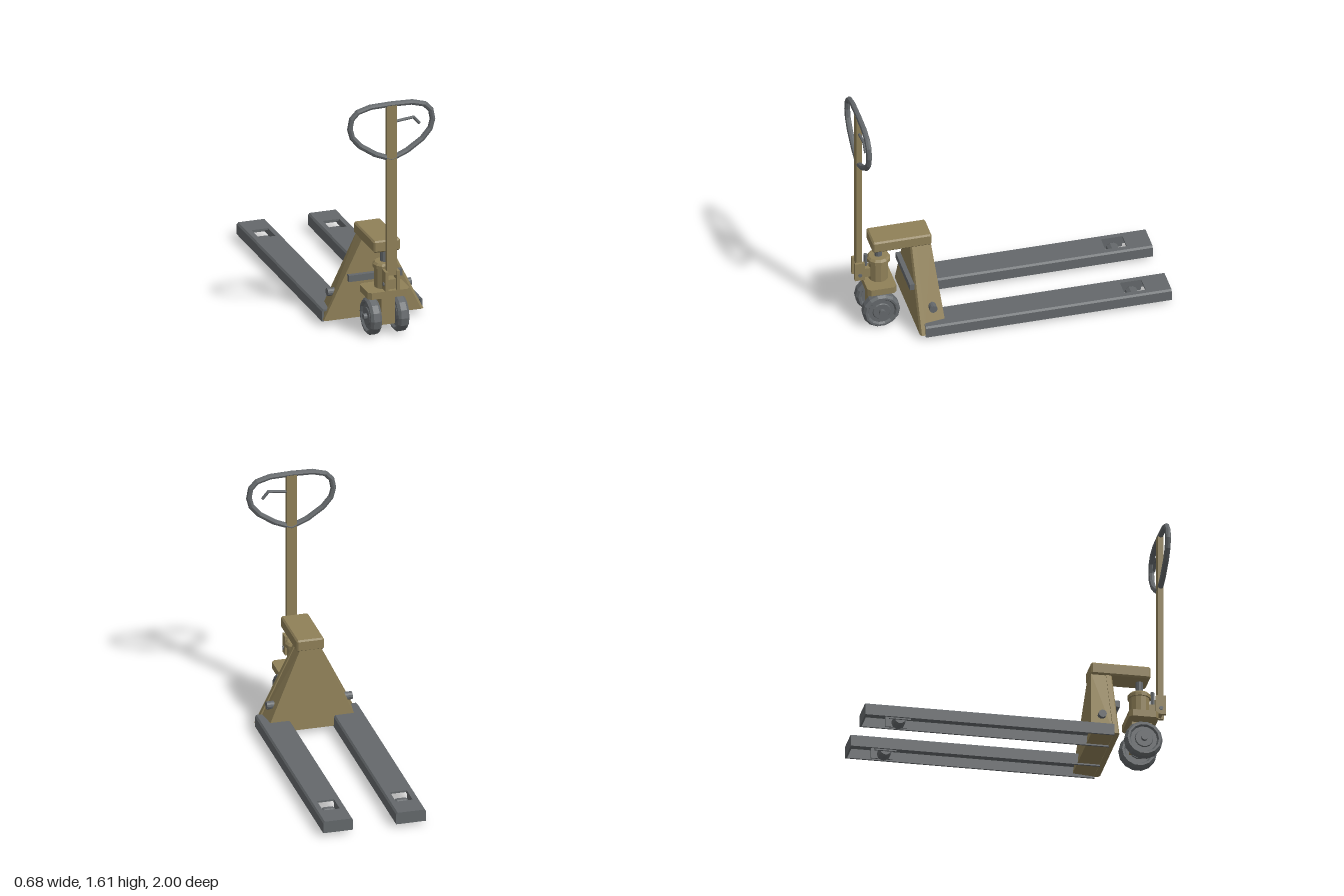
import * as THREE from 'three';
import { ConvexGeometry } from 'three/addons/geometries/ConvexGeometry.js';

export function createModel() {
  const model = new THREE.Group();
  const gold = new THREE.MeshStandardMaterial({ color: 0x8f8058 });
  gold.name = 'ochre paint';
  const grey = new THREE.MeshStandardMaterial({ color: 0x64686b });
  grey.name = 'dark grey';

  // Adds a faceted mesh
  function add(name, geo, mat, x = 0, y = 0, z = 0, parent = model) {
    const g = geo.index ? geo.toNonIndexed() : geo;
    g.computeVertexNormals();
    const mesh = new THREE.Mesh(g, mat);
    mesh.name = name;
    mesh.position.set(x, y, z);
    parent.add(mesh);
    return mesh;
  }
  // Box given by its limits
  function box(name, mat, x0, x1, y0, y1, z0, z1, parent = model) {
    return add(name, new THREE.BoxGeometry(x1 - x0, y1 - y0, z1 - z0), mat,
      (x0 + x1) / 2, (y0 + y1) / 2, (z0 + z1) / 2, parent);
  }
  const hull = (pts) => new ConvexGeometry(pts.map((p) => new THREE.Vector3(...p)));
  const mirrored = (pts) => pts.flatMap(([x, y, z]) => [[x, y, z], [-x, y, z]]);
  const shapeOf = (pts) => new THREE.Shape(pts.map((p) => new THREE.Vector2(...p)));
  const extrude = (shape, depth) => new THREE.ExtrudeGeometry(shape, { depth, bevelEnabled: false });
  // Cylinder lying along x
  const rodX = (r, len, sides = 12) => new THREE.CylinderGeometry(r, r, len, sides).rotateZ(Math.PI / 2);
  // Wheel turned about x from (radius, offset) points
  const wheelX = (pts, sides) =>
    new THREE.LatheGeometry(pts.map((p) => new THREE.Vector2(...p)), sides).rotateZ(-Math.PI / 2);
  // Box with all edges chamfered
  function chamferBox(w, h, d, c) {
    const pts = [];
    for (const sx of [-1, 1]) for (const sy of [-1, 1]) for (const sz of [-1, 1]) {
      const [x, y, z] = [w / 2, h / 2, d / 2];
      pts.push([sx * x, sy * (y - c), sz * (z - c)], [sx * (x - c), sy * y, sz * (z - c)],
        [sx * (x - c), sy * (y - c), sz * z]);
    }
    return hull(pts);
  }

  // Forks: inverted channels with a roller showing through a window
  for (const s of [-1, 1]) {
    const fork = new THREE.Group();
    fork.name = s > 0 ? 'leftFork' : 'rightFork';
    fork.position.x = s * 0.24;
    model.add(fork);

    const deck = shapeOf([[-0.08, -0.61], [0.08, -0.61], [0.08, 1], [-0.08, 1]]);
    deck.holes.push(new THREE.Path([[-0.055, 0.70], [-0.055, 0.84], [0.055, 0.84], [0.055, 0.70]]
      .map((p) => new THREE.Vector2(...p))));
    add('forkDeck', extrude(deck, 0.012).rotateX(-Math.PI / 2), grey, 0, 0.098, 0, fork);

    for (const side of [-1, 1]) {
      const pts = [[0.086, 0.03], [0.098, 0.03], [0.098, 0.098], [0.088, 0.11], [0.08, 0.11], [0.08, 0.098], [0.086, 0.095]];
      add('forkSide', extrude(shapeOf(pts.map(([x, y]) => [side * x, y])), 1.61), grey, 0, 0, -1, fork);
      box('rollerPlate', grey, side * 0.062 - 0.005, side * 0.062 + 0.005, 0.03, 0.098, -0.84, -0.70, fork);
    }
    box('forkTip', grey, -0.088, 0.088, 0.03, 0.1, -1, -0.988, fork);
    add('rollerAxle', rodX(0.012, 0.13, 8), grey, 0, 0.047, -0.765, fork);
    add('roller', wheelX([[0, -0.043], [0.034, -0.043], [0.043, -0.03], [0.043, 0.03], [0.034, 0.043], [0, 0.043]], 10),
      grey, 0, 0.047, -0.765, fork);
  }

  // Tapered mast: front plate with a bevelled edge, and the sloping body behind it
  add('mastFrontPlate', hull(mirrored([
    [0.335, 0.045, 0.605], [0.075, 0.575, 0.605], [0.335, 0.045, 0.635], [0.075, 0.575, 0.635],
    [0.318, 0.035, 0.605], [0.318, 0.045, 0.645], [0.06, 0.575, 0.645]])), gold);
  add('mastBody', hull(mirrored([
    [0.325, 0.04, 0.61], [0.07, 0.575, 0.61], [0.305, 0.04, 0.465], [0.07, 0.575, 0.51]])), gold);
  add('mastCap', chamferBox(0.18, 0.08, 0.385, 0.01), gold, 0, 0.605, 0.70);
  box('crossBar', grey, -0.18, 0.18, 0.302, 0.345, 0.64, 0.675);
  for (const s of [-1, 1]) add('pivotKnob', rodX(0.026, 0.05), grey, s * 0.257, 0.2, 0.545);

  // Hydraulic pump and steering base
  const pumpZ = 0.835;
  const base = shapeOf([[-0.14, -0.075], [-0.12, -0.095], [0.12, -0.095], [0.14, -0.075],
    [0.14, 0.075], [0.12, 0.095], [-0.12, 0.095], [-0.14, 0.075]]);
  add('pumpBase', extrude(base, 0.045).rotateX(-Math.PI / 2), gold, 0, 0.27, 0.842);
  add('pumpBody', new THREE.CylinderGeometry(0.065, 0.065, 0.16, 12), gold, 0, 0.385, pumpZ);
  add('pumpCollar', new THREE.LatheGeometry([[0, 0.45], [0.076, 0.45], [0.076, 0.472], [0.062, 0.486], [0, 0.486]]
    .map((p) => new THREE.Vector2(...p)), 12), gold, 0, 0, pumpZ);
  add('piston', new THREE.CylinderGeometry(0.025, 0.025, 0.1, 10), grey, 0, 0.53, pumpZ);
  add('valvePin', new THREE.CylinderGeometry(0.013, 0.013, 0.085, 8), grey, 0, 0.462, 0.92);
  box('steeringStem', gold, -0.046, 0.046, 0.08, 0.275, 0.778, 0.91);

  // Steering wheels
  add('steeringAxle', rodX(0.02, 0.29), grey, 0, 0.125, 0.843);
  for (const s of [-1, 1]) {
    add('steeringWheel', wheelX([[0, -0.03], [0.055, -0.03], [0.06, -0.024], [0.085, -0.024], [0.095, -0.037],
      [0.108, -0.037], [0.122, -0.02], [0.122, 0.02], [0.108, 0.037], [0.095, 0.037], [0.085, 0.024],
      [0.06, 0.024], [0.055, 0.03], [0, 0.03]], 14), grey, s * 0.092, 0.125, 0.843);
  }

  // Handle hinge
  box('hingeArm', gold, -0.028, 0.028, 0.345, 0.41, 0.87, 0.98);
  for (const s of [-1, 1]) {
    box('hingePlate', gold, s * 0.039 - 0.01, s * 0.039 + 0.01, 0.34, 0.47, 0.935, 1);
  }
  add('hingePin', rodX(0.013, 0.11, 10), grey, 0, 0.38, 0.967);

  // Handle column, loop and release lever
  const handleZ = 0.967;
  box('handleColumn', gold, -0.033, 0.033, 0.44, 1.595, 0.95, 0.985);
  const half = [[0.14, 1.597], [0.225, 1.573], [0.266, 1.53], [0.278, 1.465], [0.262, 1.404], [0.21, 1.342], [0.108, 1.273]];
  const loopPts = [[0, 1.601], ...half, [0, 1.228], ...half.map(([x, y]) => [-x, y]).reverse()];
  const loop = new THREE.CatmullRomCurve3(loopPts.map(([x, y]) => new THREE.Vector3(x, y, 0)), true);
  loop.getPointAt = (t, v) => loop.getPoint(t, v); // rings fall on the control points
  loop.getTangentAt = (t, v) => loop.getTangent(t, v);
  add('handleLoop', new THREE.TubeGeometry(loop, loopPts.length, 0.019, 8, true), grey, 0, 0, handleZ);

  const lever = [[0.02, 1.479], [0.15, 1.493], [0.187, 1.45]].map(([x, y]) => new THREE.Vector3(x, y, handleZ));
  for (let i = 0; i < 2; i++) {
    const dir = lever[i + 1].clone().sub(lever[i]);
    const mid = lever[i].clone().add(lever[i + 1]).multiplyScalar(0.5);
    const part = add('releaseLever', new THREE.CylinderGeometry(0.01, 0.01, dir.length() + 0.01, 8), grey, mid.x, mid.y, mid.z);
    part.quaternion.setFromUnitVectors(new THREE.Vector3(0, 1, 0), dir.normalize());
  }
  return model;
}
